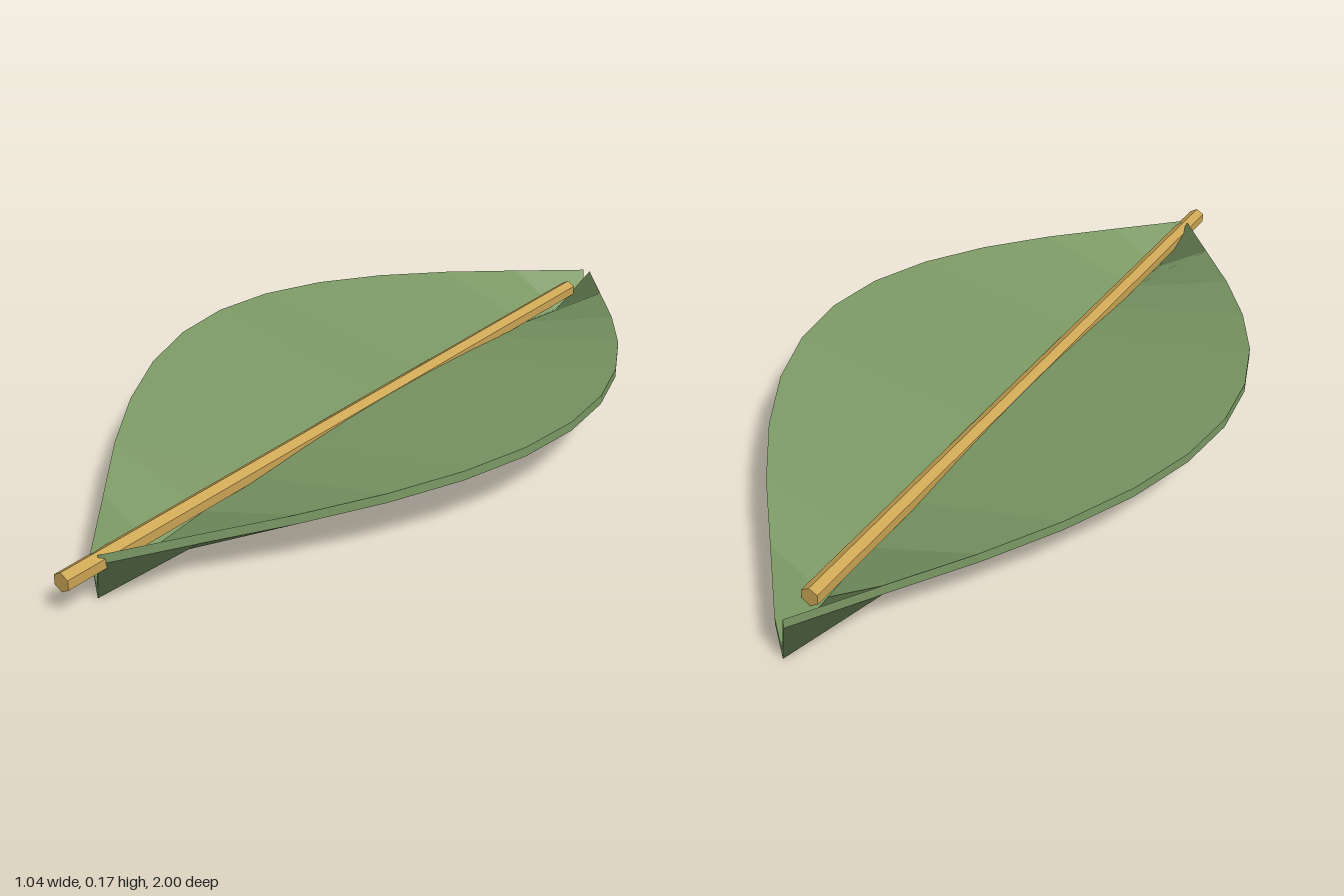
import * as THREE from 'three';

const leafGreen = new THREE.MeshStandardMaterial({ color: 0x7b9864 });
leafGreen.name = 'leaf green';
const stemTan = new THREE.MeshStandardMaterial({ color: 0xcca654 });
stemTan.name = 'stem tan';

// Blade: V-shaped sections along z, widening and arching as a sine
function bladeGeometry() {
  const segments = 12, back = -1, length = 1.91;
  const halfWidth = 0.522, arch = 0.068, fold = 0.083, thick = 0.022;
  const rings = [], positions = [], normals = [];

  for (let i = 0; i <= segments; i++) {
    const s = Math.sin(Math.PI * i / segments);
    const z = back + length * i / segments;
    const w = Math.max(0.01, halfWidth * s);
    const y = arch * s;
    // ring: top left to right, then bottom right to left
    rings.push([
      [-w, y + fold + thick], [0, y + thick], [w, y + fold + thick],
      [w, y + fold], [0, y], [-w, y + fold],
    ].map(([px, py]) => new THREE.Vector3(px, py, z)));
  }

  // one facet of four corners with a single normal; flip picks the diagonal
  const addFacet = (a, d, c, b, flip) => {
    const normal = c.clone().sub(a).cross(b.clone().sub(d)).normalize();
    for (const p of flip ? [a, d, b, b, d, c] : [a, d, c, a, c, b]) {
      positions.push(p.x, p.y, p.z);
      normals.push(normal.x, normal.y, normal.z);
    }
  };

  for (let i = 0; i < segments; i++) {
    const r = rings[i], s = rings[i + 1];
    for (let k = 0; k < 6; k++) {
      const n = (k + 1) % 6;
      addFacet(r[k], s[k], s[n], r[n], k < 3);
    }
  }

  // end caps at both tips
  const r = rings[0], s = rings[segments];
  addFacet(r[0], r[1], r[4], r[5], false);
  addFacet(r[1], r[2], r[3], r[4], false);
  addFacet(s[0], s[5], s[4], s[1], false);
  addFacet(s[1], s[4], s[3], s[2], false);

  const geometry = new THREE.BufferGeometry();
  geometry.setAttribute('position', new THREE.Float32BufferAttribute(positions, 3));
  geometry.setAttribute('normal', new THREE.Float32BufferAttribute(normals, 3));
  return geometry;
}

export function createModel() {
  const leaf = new THREE.Group();
  leaf.name = 'leaf';

  const blade = new THREE.Mesh(bladeGeometry(), leafGreen);
  blade.name = 'blade';
  leaf.add(blade);

  // Straight six-sided midrib, overhanging the front tip as a stem
  const ribGeometry = new THREE.CylinderGeometry(0.0225, 0.0225, 1.9, 6).toNonIndexed();
  ribGeometry.rotateX(Math.PI / 2);
  ribGeometry.computeVertexNormals();
  const midrib = new THREE.Mesh(ribGeometry, stemTan);
  midrib.name = 'midrib';
  midrib.position.set(0, 0.083, 0.05);
  leaf.add(midrib);

  return leaf;
}
